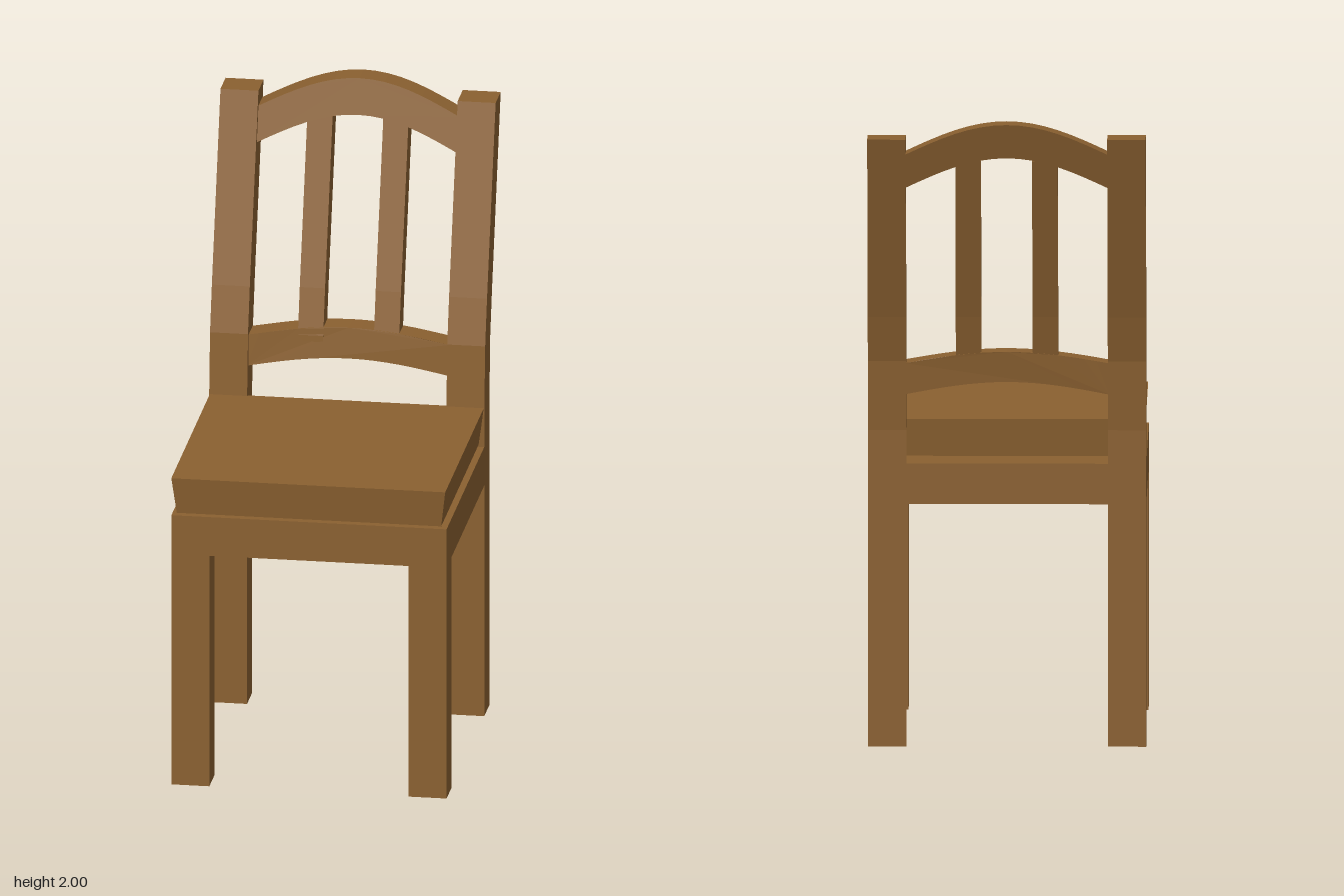
import * as THREE from 'three';

// Backward lean of the backrest as a function of height
const LEAN = [[0, 0], [1.0, 0], [1.22, 0.019], [1.365, 0.0565], [1.952, 0.234], [2.1, 0.279]];
function lean(y) {
  for (let i = 1; i < LEAN.length; i++) {
    const [y0, s0] = LEAN[i - 1], [y1, s1] = LEAN[i];
    if (y <= y1) return s0 + (s1 - s0) * (y - y0) / (y1 - y0);
  }
  return LEAN[LEAN.length - 1][1];
}

export function createModel() {
  const wood = new THREE.MeshStandardMaterial({ color: 0x8a6030 });
  wood.name = 'brownWood';
  const chair = new THREE.Group();
  chair.name = 'chair';

  function add(name, geo) {
    const mesh = new THREE.Mesh(geo, wood);
    mesh.name = name;
    chair.add(mesh);
    return mesh;
  }

  // Axis-aligned block given by its limits
  function block(name, x0, x1, y0, y1, z0, z1) {
    const geo = new THREE.BoxGeometry(x1 - x0, y1 - y0, z1 - z0);
    geo.translate((x0 + x1) / 2, (y0 + y1) / 2, (z0 + z1) / 2);
    return add(name, geo);
  }

  // Upright bar following the lean: side profile extruded across its width
  function leanBar(name, xc, width, front, back, heights) {
    const pts = heights.map(y => new THREE.Vector2(-front + lean(y), y));
    [...heights].reverse().forEach(y => pts.push(new THREE.Vector2(-back + lean(y), y)));
    const geo = new THREE.ExtrudeGeometry(new THREE.Shape(pts), { depth: width, bevelEnabled: false });
    geo.translate(0, 0, -width / 2);
    geo.rotateY(Math.PI / 2); // profile x becomes -z
    geo.translate(xc, 0, 0);
    add(name, geo);
  }

  // Arched rail between the posts, sheared backwards with the lean
  function archRail(name, bottom, bottomRise, top, topRise, front, back) {
    const n = 16, half = 0.32, pts = [];
    const arc = t => Math.cos(t * Math.PI / 2);
    for (let i = 0; i <= n; i++) {
      const t = -1 + 2 * i / n;
      pts.push(new THREE.Vector2(t * half, bottom + bottomRise * arc(t)));
    }
    for (let i = n; i >= 0; i--) {
      const t = -1 + 2 * i / n;
      pts.push(new THREE.Vector2(t * half, top + topRise * arc(t)));
    }
    const geo = new THREE.ExtrudeGeometry(new THREE.Shape(pts), { depth: front - back, bevelEnabled: false });
    const p = geo.attributes.position;
    for (let i = 0; i < p.count; i++) p.setZ(i, p.getZ(i) + back - lean(p.getY(i)));
    geo.computeVertexNormals();
    add(name, geo);
  }

  // Legs and back posts
  for (const [side, s] of [['left', 1], ['right', -1]]) {
    const xc = s * 0.375;
    block(side + 'FrontLeg', xc - 0.06, xc + 0.06, 0, 0.8, 0.453, 0.557);
    leanBar(side + 'BackPost', xc, 0.12, -0.218, -0.322, [0, 1.0, 1.22, 1.365, 1.952]);
    leanBar(side + 'Slat', s * 0.12, 0.08, -0.237, -0.313, [1.2, 1.22, 1.365, 1.88]);
  }

  // Seat frame, with its back part fitted between the posts
  block('seatFrame', -0.435, 0.435, 0.765, 0.893, -0.22, 0.557);
  block('seatFrameBack', -0.32, 0.32, 0.765, 0.893, -0.315, -0.22);

  // Seat board, narrower at its underside
  const seat = block('seat', -0.433, 0.433, 0.902, 1.021, -0.226, 0.572);
  const sp = seat.geometry.attributes.position;
  for (let i = 0; i < sp.count; i++) {
    if (sp.getY(i) > 0.95) continue;
    sp.setX(i, sp.getX(i) - Math.sign(sp.getX(i)) * 0.015);
    sp.setZ(i, sp.getZ(i) - Math.sign(sp.getZ(i)) * 0.015);
  }
  seat.geometry.computeVertexNormals();

  // Backrest rails
  archRail('lowerRail', 1.113, 0.04, 1.213, 0.037, -0.234, -0.316);
  archRail('topRail', 1.79, 0.1, 1.9, 0.1, -0.234, -0.316);

  // The chair stands turned on the floor
  chair.rotation.y = -0.567;
  const model = new THREE.Group();
  model.name = 'model';
  model.add(chair);
  return model;
}
